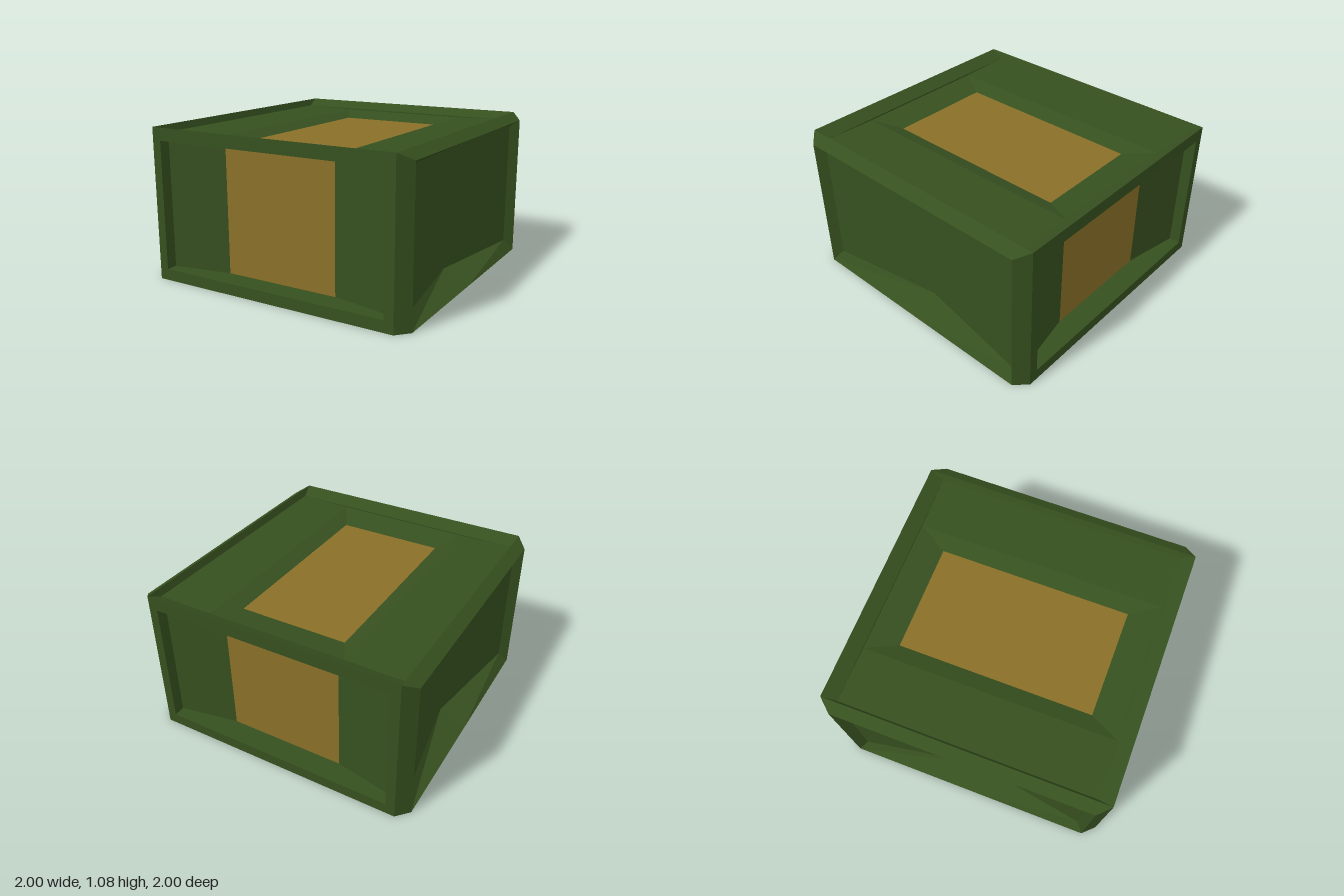
import * as THREE from 'three';

const green = new THREE.MeshStandardMaterial({ color: 0x36501f, side: THREE.DoubleSide });
const ochre = new THREE.MeshStandardMaterial({ color: 0x8a7028, side: THREE.DoubleSide });

// Flat-shaded mesh from quads whose corners run counter-clockwise seen from outside
function quadMesh(name, material, quads) {
  const pos = [];
  for (const [a, b, c, d] of quads) pos.push(...a, ...b, ...c, ...a, ...c, ...d);
  const geo = new THREE.BufferGeometry();
  geo.setAttribute('position', new THREE.Float32BufferAttribute(pos, 3));
  geo.computeVertexNormals();
  const mesh = new THREE.Mesh(geo, material);
  mesh.name = name;
  return mesh;
}

// Quads joining two rows of points; closed rows wrap around
function loft(a, b, closed = false) {
  const quads = [];
  const n = closed ? a.length : a.length - 1;
  for (let i = 0; i < n; i++) {
    const j = (i + 1) % a.length;
    quads.push([a[i], a[j], b[j], b[i]]);
  }
  return quads;
}

// Front wall: flat frame, jambs and a panel bent inward around a coloured centre
function endWall() {
  const wall = new THREE.Group();
  const ring = (x, y0, y1, zEdge, zMid) => {
    const row = (y) => [[-x, y, zEdge], [-0.425, y, zMid], [0.425, y, zMid], [x, y, zEdge]];
    return [...row(y0), ...row(y1).reverse()];
  };
  const outer = ring(0.92, 0, 1.08, 1, 1);
  const opening = ring(0.855, 0.08, 0.99, 1, 1);
  const panel = ring(0.855, 0.08, 0.99, 0.92, 0.84);
  const [left, middle, right] = loft(panel.slice(0, 4), panel.slice(4).reverse());
  wall.add(
    quadMesh('endFrame', green, loft(outer, opening, true)),
    quadMesh('endJambs', green, loft(opening, panel, true)),
    quadMesh('endPanelWings', green, [left, right]),
    quadMesh('endPanelCentre', ochre, [middle]),
  );
  return wall;
}

// Side wall: sloped surround, panel folded inward along its middle, bevel to the roof
function sideWall() {
  const wall = new THREE.Group();
  const ring = (z, y0, y1, xEdge, xMid) => {
    const row = (y) => [[xEdge, y, z], [xMid, y, 0], [xEdge, y, -z]];
    return [...row(y0), ...row(y1).reverse()];
  };
  const rim = ring(0.915, 0, 1.03, 1, 1);
  const panel = ring(0.86, 0.08, 0.99, 0.94, 0.8);
  wall.add(
    quadMesh('sideSurround', green, loft(rim, panel, true)),
    quadMesh('sidePanel', green, loft(panel.slice(0, 3), panel.slice(3).reverse())),
    quadMesh('roofBevel', green, [
      [[1, 1.03, 0.915], [1, 1.03, -0.915], [0.92, 1.08, -1], [0.92, 1.08, 1]],
    ]),
  );
  // Chamfered posts at both ends of the side
  wall.add(quadMesh('cornerPosts', green, [
    [[0.92, 0, 1], [1, 0, 0.915], [1, 1.03, 0.915], [0.92, 1.08, 1]],
    [[1, 0, -0.915], [0.92, 0, -1], [0.92, 1.08, -1], [1, 1.03, -0.915]],
  ]));
  return wall;
}

// Roof: sloped rim, shelves along the sides and a sunken coloured centre
function roof() {
  const top = new THREE.Group();
  top.name = 'roof';
  const rect = (x, y, z) => [[-x, y, z], [x, y, z], [x, y, -z], [-x, y, -z]];
  const rim = rect(0.92, 1.08, 1);
  const inner = rect(0.9, 1.03, 0.9);
  const shelf = rect(0.5, 1.02, 0.9);
  const centre = rect(0.385, 0.98, 0.69);
  top.add(
    quadMesh('roofRim', green, loft(rim, inner, true)),
    quadMesh('roofPanel', green, [...loft(inner, shelf, true), ...loft(shelf, centre, true)]),
    quadMesh('roofCentre', ochre, [centre]),
  );
  return top;
}

export function createModel() {
  const model = new THREE.Group();
  model.name = 'crateShell';
  // Opposite walls are half-turn copies; the underside stays open
  for (const [build, names] of [[endWall, ['frontWall', 'backWall']], [sideWall, ['leftWall', 'rightWall']]]) {
    names.forEach((name, i) => {
      const wall = build();
      wall.name = name;
      wall.rotation.y = i * Math.PI;
      model.add(wall);
    });
  }
  model.add(roof());
  return model;
}
